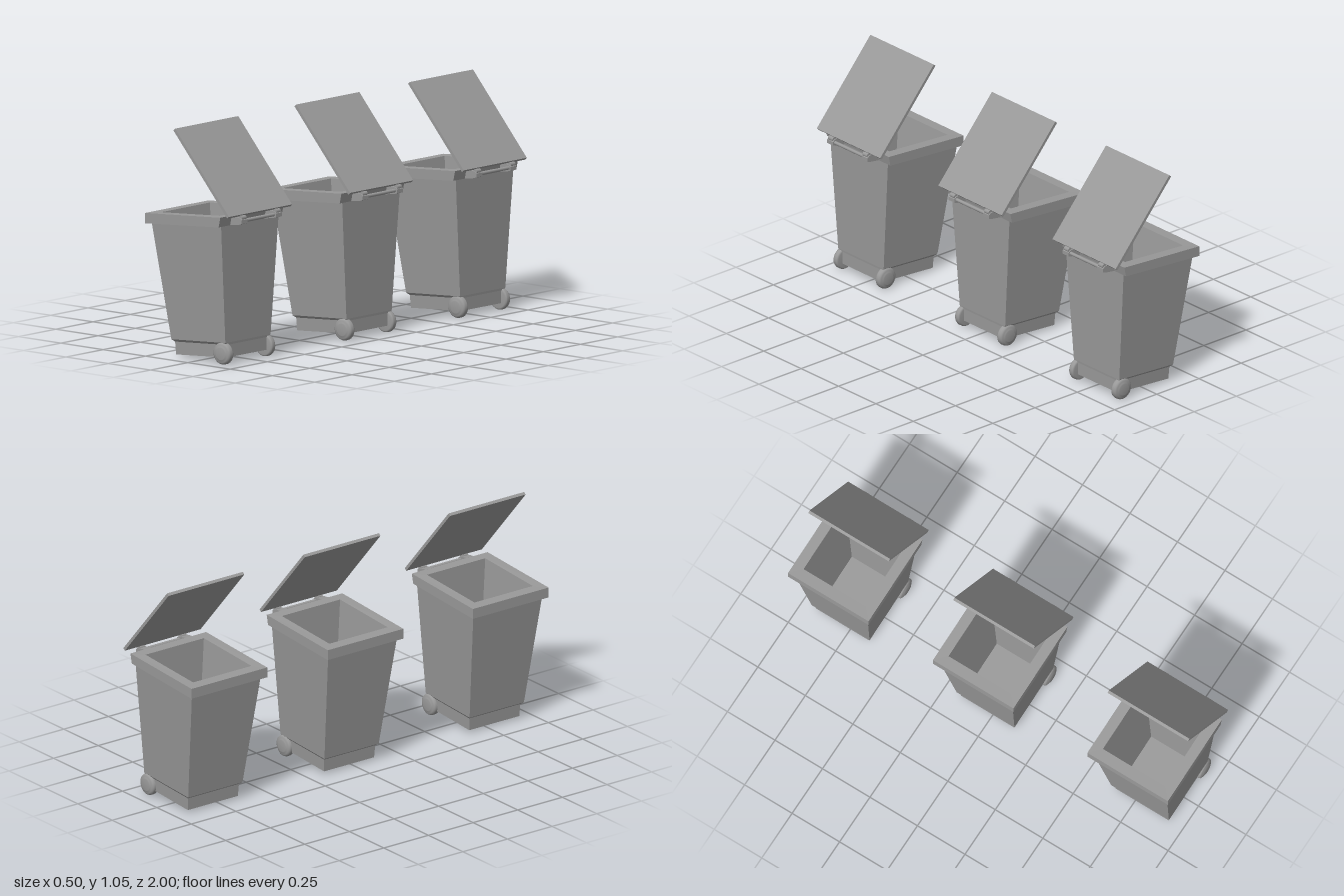
import * as THREE from 'three';

const grey = new THREE.MeshStandardMaterial({ color: 0x999999 });
grey.name = 'grey plastic';

// Flat-faced loft through four-cornered rings [frontX, frontY, backX, backY, halfWidth]
function loft(rings, capStart = false, capEnd = false) {
  const pos = [];
  const loops = rings.map(([xf, yf, xb, yb, h]) => [[xf, yf, h], [xb, yb, h], [xb, yb, -h], [xf, yf, -h]]);
  const quad = (a, b, c, d) => pos.push(...a, ...b, ...c, ...a, ...c, ...d);
  for (let r = 0; r < loops.length - 1; r++) {
    const a = loops[r], b = loops[r + 1];
    for (let i = 0; i < 4; i++) {
      const j = (i + 1) % 4;
      quad(a[i], a[j], b[j], b[i]);
    }
  }
  if (capStart) quad(...[...loops[0]].reverse());
  if (capEnd) quad(...loops[loops.length - 1]);
  const g = new THREE.BufferGeometry();
  g.setAttribute('position', new THREE.Float32BufferAttribute(pos, 3));
  g.computeVertexNormals();
  return g;
}

function add(parent, name, geometry, x = 0, y = 0, z = 0) {
  const m = new THREE.Mesh(geometry, grey);
  m.name = name;
  m.position.set(x, y, z);
  parent.add(m);
  return m;
}

function createBin() {
  const bin = new THREE.Group();

  // Tapered tub, slightly tilted, with a stepped-in foot
  const foot = [-0.132, 0.012, 0.168, 0.033, 0.14];
  const step = [-0.136, 0.07, 0.168, 0.09, 0.143];
  const bodyLow = [-0.15, 0.08, 0.169, 0.1, 0.152];
  const bodyTop = [-0.23, 0.602, 0.18, 0.632, 0.193];
  const rimLow = [-0.252, 0.598, 0.182, 0.63, 0.212];
  const rimTop = [-0.252, 0.645, 0.192, 0.675, 0.212];
  const mouth = [-0.2, 0.648, 0.145, 0.672, 0.163];
  const floor = [-0.12, 0.09, 0.13, 0.11, 0.12];
  add(bin, 'base', loft([foot, step, bodyLow], true));
  add(bin, 'body', loft([bodyLow, bodyTop]));
  add(bin, 'rim', loft([bodyTop, rimLow, rimTop, mouth]));
  add(bin, 'interior', loft([mouth, floor], false, true));

  // Open lid, leaning back from the hinge
  const bottom = new THREE.Vector2(0.238, 0.68), top = new THREE.Vector2(-0.08, 1.041);
  const along = top.clone().sub(bottom);
  const lid = add(bin, 'lid', new THREE.BoxGeometry(along.length(), 0.014, 0.424),
    (bottom.x + top.x) / 2, (bottom.y + top.y) / 2, 0);
  lid.rotation.z = Math.atan2(along.y, along.x);

  // Hinge arms and rod
  const armShape = new THREE.Shape([[0.18, 0.63], [0.235, 0.638], [0.25, 0.643], [0.25, 0.66], [0.24, 0.668], [0.19, 0.675]]
    .map(([x, y]) => new THREE.Vector2(x, y)));
  const rod = new THREE.CylinderGeometry(0.008, 0.008, 0.2, 12).rotateX(Math.PI / 2);
  add(bin, 'hingeRod', rod, 0.237, 0.654, 0);

  // Wheel with rounded tread and raised hub
  const wheelProfile = [[0, 0], [0.042, 0], [0.049, 0.005], [0.05, 0.01], [0.05, 0.022],
    [0.047, 0.029], [0.04, 0.033], [0.03, 0.034], [0.027, 0.038], [0, 0.038]]
    .map(([r, h]) => new THREE.Vector2(r, h));

  for (const side of [1, -1]) {
    const arm = new THREE.ExtrudeGeometry(armShape, { depth: 0.04, bevelEnabled: false });
    add(bin, 'hingeArm', arm, 0, 0, side * 0.115 - 0.02);
    const knuckle = new THREE.CylinderGeometry(0.011, 0.011, 0.03, 12).rotateX(Math.PI / 2);
    add(bin, 'hingeKnuckle', knuckle, 0.238, 0.668, side * 0.115);
    const wheel = new THREE.LatheGeometry(wheelProfile, 28).rotateX(side * Math.PI / 2);
    add(bin, 'wheel', wheel, 0.148, 0.05, side * 0.125);
  }
  add(bin, 'axle', new THREE.CylinderGeometry(0.01, 0.01, 0.26, 12).rotateX(Math.PI / 2), 0.148, 0.052, 0);
  return bin;
}

export function createModel() {
  const model = new THREE.Group();
  model.name = 'wheeledBins';
  // Row of three identical bins
  [0.788, -0.025, -0.788].forEach((z, i) => {
    const bin = createBin();
    bin.name = 'bin' + (i + 1);
    bin.position.z = z;
    model.add(bin);
  });
  return model;
}
